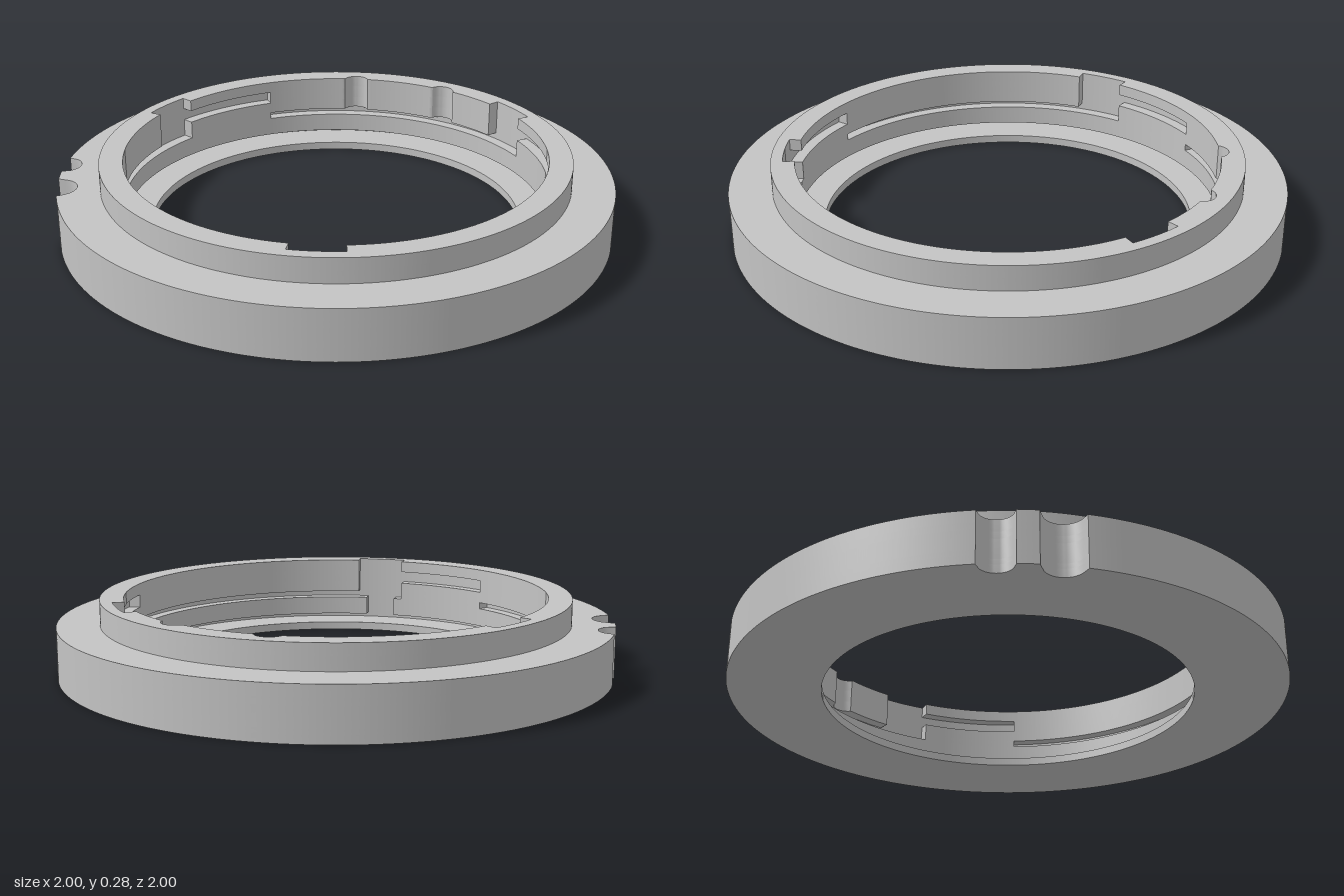
import * as THREE from 'three';
import { toCreasedNormals } from 'three/addons/utils/BufferGeometryUtils.js';

const metal = new THREE.MeshStandardMaterial({ color: 0xc4c4c4 });
metal.name = 'plain grey';

// Angles in degrees, measured from the front (+z) towards -x
const lugs = [0, 120, 234.8];
const within = (a, from, to) => {
  const d = (((a - from) % 360) + 360) % 360;
  return d <= to - from;
};
const inLug = (a) => lugs.some((c) => within(a, c - 6.8, c + 6.8));
const inSlot = (a) => lugs.some((c) => within(a, c + 6.8, c + 35));

// Radius of a round bite with its centre on the ring; sign picks its far or near side
function bite(a, centre, dist, radius, sign) {
  const d = THREE.MathUtils.degToRad(a - centre);
  const s = radius * radius - (dist * Math.sin(d)) ** 2;
  return s > 0 && Math.cos(d) > 0 ? dist * Math.cos(d) + sign * Math.sqrt(s) : null;
}

// Regular samples plus pairs on both sides of every square corner
const angles = [];
for (let i = 0; i < 720; i++) angles.push(i / 2 + 0.013);
for (const c of lugs) {
  for (const e of [-6.8, -4.3, 4.3, 6.8, 35]) {
    for (const s of [-0.002, 0.002]) angles.push((c + e + s + 360) % 360);
  }
}
angles.sort((a, b) => a - b);

function outline(radiusAt) {
  return angles.map((a) => {
    const t = THREE.MathUtils.degToRad(a);
    const r = radiusAt(a);
    return new THREE.Vector2(-r * Math.sin(t), -r * Math.cos(t));
  });
}

// Flat ring slice between two heights; the hole runs against the outer edge
function slice(name, y0, y1, outer, inner) {
  const shape = new THREE.Shape(outline(outer).reverse());
  shape.holes.push(new THREE.Path(outline(inner)));
  const geo = new THREE.ExtrudeGeometry(shape, { depth: y1 - y0, bevelEnabled: false });
  geo.rotateX(-Math.PI / 2);
  geo.translate(0, y0, 0);
  const mesh = new THREE.Mesh(toCreasedNormals(geo, 0.5), metal);
  mesh.name = name;
  return mesh;
}

// Outer edges: the flange has two round bites on its -x side
const flange = (a) => Math.min(1, bite(a, 90, 1, 0.06, -1) ?? 1, bite(a, 78.2, 0.995, 0.068, -1) ?? 1);
const collar = () => 0.847;

// Inner edges
const bore = (a) => {
  if (inLug(a)) return 0.805;
  return Math.max(0.762, bite(a, 182, 0.744, 0.05, 1) ?? 0, bite(a, 210, 0.746, 0.05, 1) ?? 0);
};
const slotted = (a) => (inSlot(a) ? 0.805 : bore(a));
const groove = (a) => (inSlot(a) ? 0.762 : 0.805);
const lowerWall = (a) => (within(a, -4.3, 4.3) ? 0.805 : 0.762);

export function createModel() {
  const ring = new THREE.Group();
  ring.name = 'mountRing';
  ring.add(
    slice('bottomLip', 0, 0.03, flange, () => 0.668),
    slice('lowerGroove', 0.03, 0.048, flange, () => 0.805),
    slice('lowerWall', 0.048, 0.118, flange, lowerWall),
    slice('lockingGroove', 0.118, 0.143, flange, groove),
    slice('flangeTop', 0.143, 0.185, flange, bore),
    slice('collarSlots', 0.185, 0.232, collar, slotted),
    slice('collarRim', 0.232, 0.275, collar, bore)
  );
  return ring;
}
